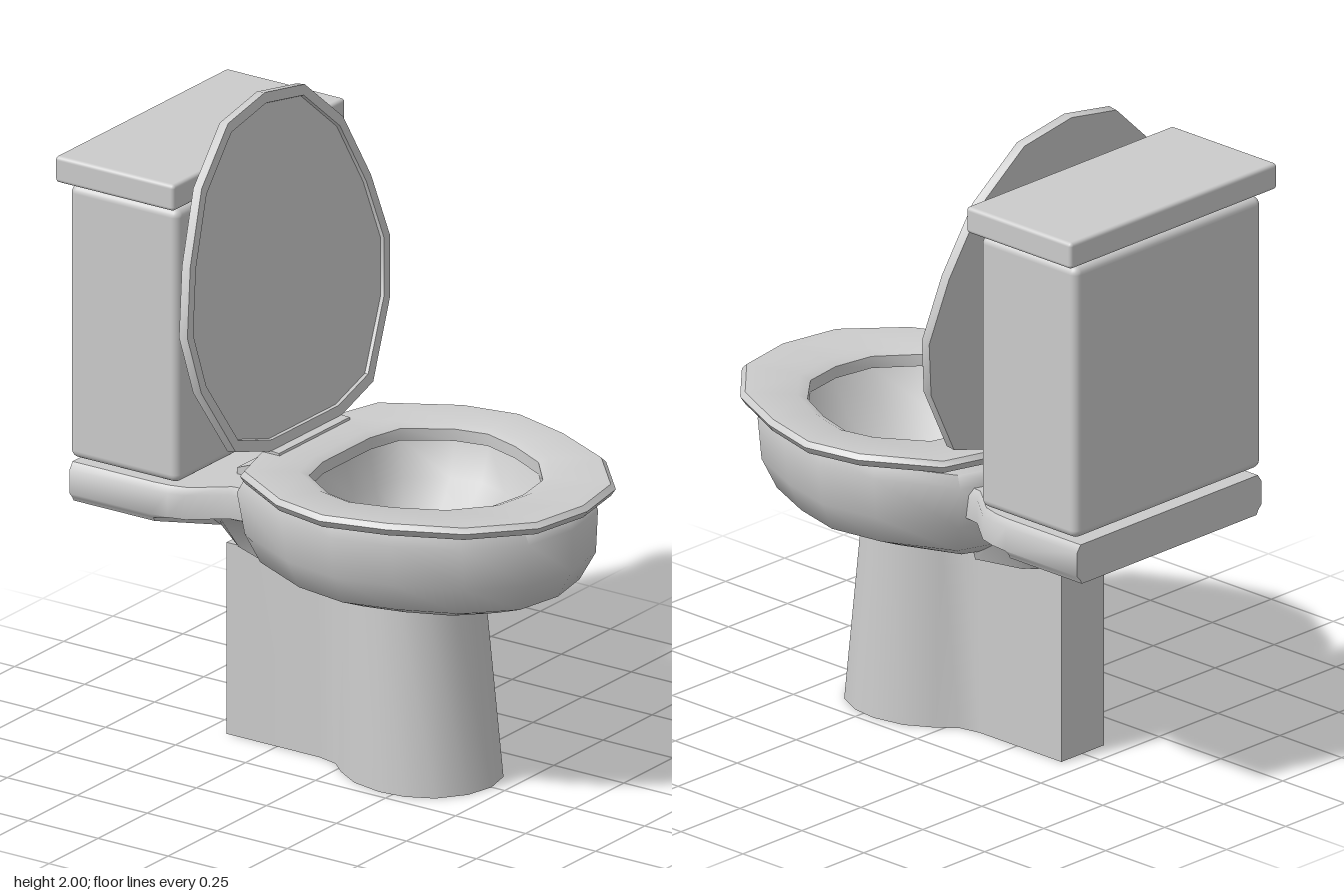
import * as THREE from 'three';
import { toCreasedNormals } from 'three/addons/utils/BufferGeometryUtils.js';
import { RoundedBoxGeometry } from 'three/addons/geometries/RoundedBoxGeometry.js';

const material = new THREE.MeshStandardMaterial({ color: 0xcccccc });

// Right half of the egg outline [x, z], from the front tip to the back
const EGG = [[0, 0.795], [0.195, 0.76], [0.36, 0.61], [0.46, 0.4], [0.515, 0.2],
  [0.48, 0.02], [0.35, -0.2], [0.18, -0.25], [0, -0.25]];

// Completes a half cross-section with its mirror image in x
const mirror = (half) => [...half,
  ...half.slice().reverse().filter((p) => p[0] > 0).map(([x, y, z]) => [-x, y, z])];

// Egg ring at height y, fitted to a half width and to front and back limits
const egg = (y, halfWidth, front, back) => mirror(EGG.map(([x, z]) => [
  x * halfWidth / 0.515, y,
  0.2 + (z > 0.2 ? (z - 0.2) * (front - 0.2) / 0.595 : (z - 0.2) * (0.2 - back) / 0.45),
]));

// Skins a list of rings; either capped at both ends or closed on itself
function loft(rings, crease, closed = false) {
  const n = rings[0].length;
  const pos = rings.flat(2);
  const idx = [];
  const last = closed ? rings.length : rings.length - 1;
  for (let r = 0; r < last; r++) {
    const a = r * n, b = ((r + 1) % rings.length) * n;
    for (let i = 0; i < n; i++) {
      const j = (i + 1) % n;
      idx.push(a + i, a + j, b + i, a + j, b + j, b + i);
    }
  }
  if (!closed) {
    [0, rings.length - 1].forEach((r, end) => {
      const c = pos.length / 3;
      for (let k = 0; k < 3; k++) pos.push(rings[r].reduce((s, p) => s + p[k], 0) / n);
      for (let i = 0; i < n; i++) {
        const p = r * n + i, q = r * n + (i + 1) % n;
        if (end) idx.push(c, p, q); else idx.push(c, q, p);
      }
    });
  }
  const g = new THREE.BufferGeometry();
  g.setAttribute('position', new THREE.Float32BufferAttribute(pos, 3));
  g.setIndex(idx);
  return toCreasedNormals(g, crease);
}

export function createModel() {
  const group = new THREE.Group();
  const add = (name, geometry, x = 0, y = 0, z = 0) => {
    const m = new THREE.Mesh(geometry, material);
    m.name = name;
    m.position.set(x, y, z);
    group.add(m);
    return m;
  };

  // Pedestal: rounded front column with a narrow leg behind
  const foot = [[0, 0.44], [0.09, 0.42], [0.17, 0.36], [0.21, 0.28], [0.22, 0.2],
    [0.2, 0.1], [0.15, 0.02], [0.105, -0.03], [0.09, -0.1], [0.09, -0.43]];
  const footRing = (y, s) => mirror(foot.map(([x, z]) =>
    [z < -0.05 ? x : x * s, y, z > 0 ? z * (s + 0.03) : z]));
  add('pedestal', loft([footRing(0, 1), footRing(0.6, 0.86)], 0.8));

  // Bowl: outside from the bottom up, over the rim, then down to the drain
  add('bowl', loft([
    egg(0.578, 0.18, 0.42, -0.1), egg(0.602, 0.29, 0.57, -0.17),
    egg(0.65, 0.4, 0.69, -0.23), egg(0.74, 0.442, 0.74, -0.27),
    egg(0.87, 0.463, 0.742, -0.29), egg(0.908, 0.45, 0.72, -0.27),
    egg(0.908, 0.35, 0.575, -0.07), egg(0.8, 0.31, 0.52, -0.04),
    egg(0.7, 0.2, 0.41, 0.02), egg(0.64, 0.1, 0.29, 0.065),
    egg(0.615, 0.085, 0.27, 0.08),
  ], 1.1));

  // Shelf under the tank, blending forward into the bowl and down into the leg
  // Columns: z, half width, bottom half width, bottom y
  const shelf = [[-0.78, 0.39, 0.37, 0.742], [-0.49, 0.39, 0.37, 0.742],
    [-0.435, 0.385, 0.11, 0.66], [-0.38, 0.37, 0.1, 0.6],
    [-0.28, 0.29, 0.1, 0.57], [-0.13, 0.27, 0.14, 0.57]];
  add('tankShelf', loft(shelf.map(([z, w, wb, yb]) => mirror([
    [wb, yb, z], [wb + (w - wb) * 0.35, yb + (0.76 - yb) * 0.75, z],
    [w, 0.77, z], [w, 0.845, z], [w - 0.015, 0.866, z],
  ])), 0.8));

  // Seat ring
  add('seat', loft([
    egg(0.905, 0.455, 0.73, -0.2), egg(0.918, 0.5, 0.78, -0.24),
    egg(0.94, 0.515, 0.795, -0.25), egg(0.955, 0.5, 0.78, -0.24),
    egg(0.955, 0.37, 0.6, -0.09), egg(0.942, 0.342, 0.567, -0.065),
    egg(0.905, 0.342, 0.567, -0.065),
  ], 0.75, true));

  // Raised lid with a shallow recess inside its rim
  const lidGeometry = loft([
    egg(0.01, 0.482, 0.76, -0.215), egg(0, 0.485, 0.763, -0.218),
    egg(0, 0.515, 0.795, -0.25), egg(0.03, 0.515, 0.795, -0.25),
  ], 0.6);
  lidGeometry.translate(0, 0, 0.25);
  add('lid', lidGeometry, 0, 0.963, -0.208).rotation.x = -Math.PI / 2 - 0.142;

  // Hinge block that carries the seat and lid
  const hinge = new THREE.Shape([[0.17, 0.93], [0.18, 0.962], [0.235, 0.965],
    [0.25, 0.915], [0.33, 0.885], [0.33, 0.86], [0.17, 0.86]]
    .map(([z, y]) => new THREE.Vector2(z, y)));
  const hingeGeometry = new THREE.ExtrudeGeometry(hinge, { depth: 0.36, bevelEnabled: false });
  hingeGeometry.translate(0, 0, -0.18).rotateY(Math.PI / 2);
  add('hinge', hingeGeometry);

  // Tank and its cover
  add('tank', new RoundedBoxGeometry(0.79, 0.855, 0.39, 3, 0.025), 0, 1.3125, -0.585);
  add('tankCover', new RoundedBoxGeometry(0.876, 0.082, 0.425, 3, 0.012), 0, 1.797, -0.5875);

  return group;
}
